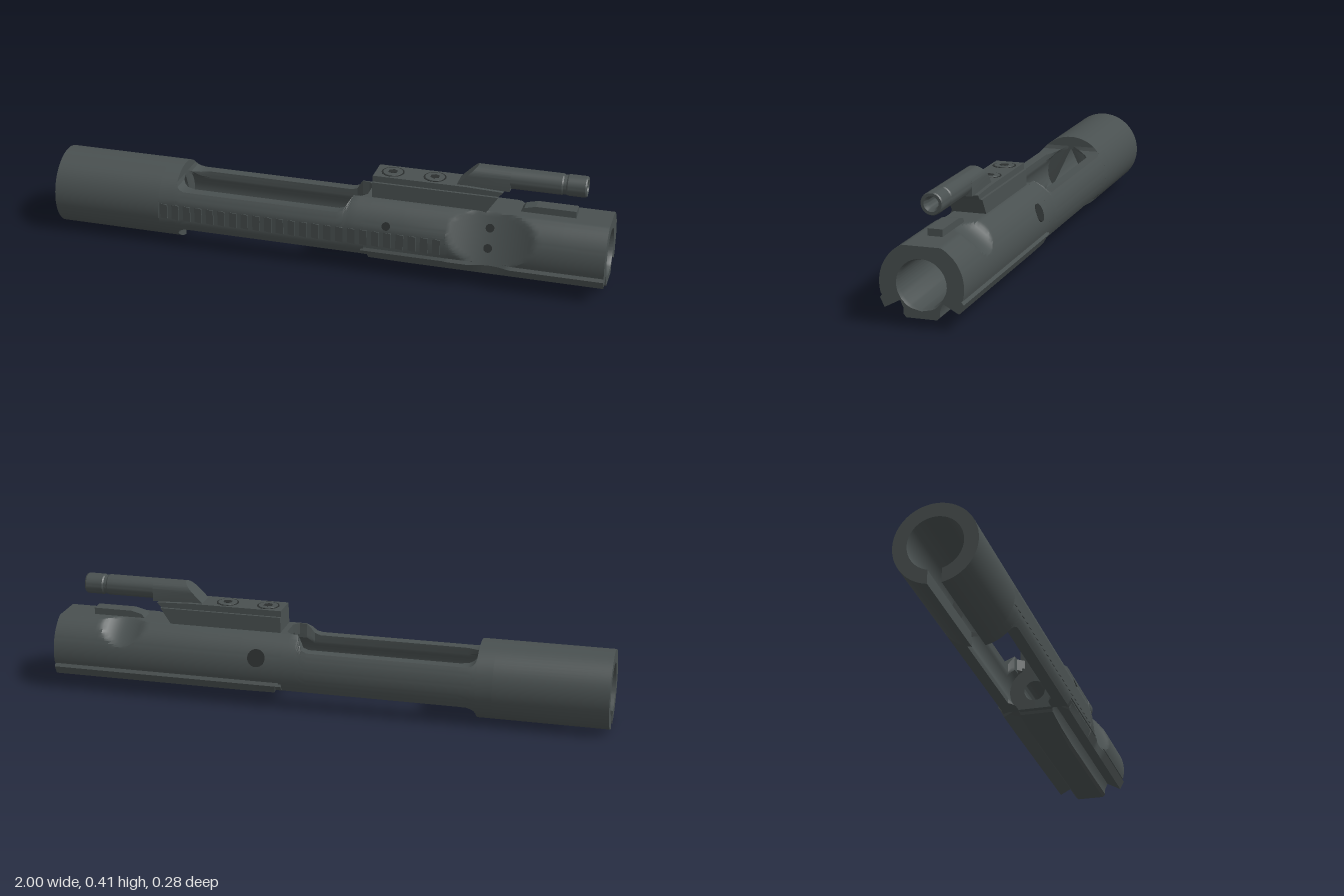
import * as THREE from 'three';
import { toCreasedNormals } from 'three/addons/utils/BufferGeometryUtils.js';

const CY = 0.139, R = 0.139, FLAT = 0.134; // axis height, outer radius, side flat

// Skin a list of equal-length rings of [x, y, z]; either wrap into a loop or cap with fans
function loft(rings, wrap) {
  const n = rings[0].length, m = rings.length, idx = [], pos = rings.flat(2);
  for (let i = 0; i < (wrap ? m : m - 1); i++) {
    for (let j = 0; j < n; j++) {
      const a = i * n + j, b = i * n + (j + 1) % n;
      const c = ((i + 1) % m) * n + j, d = ((i + 1) % m) * n + (j + 1) % n;
      idx.push(a, b, d, a, d, c);
    }
  }
  if (!wrap) {
    const e = (m - 1) * n;
    for (let j = 1; j < n - 1; j++) idx.push(0, j + 1, j, e, e + j, e + j + 1);
  }
  // Turn the faces outward
  let vol = 0;
  const v = k => new THREE.Vector3().fromArray(pos, k * 3);
  for (let t = 0; t < idx.length; t += 3) vol += v(idx[t]).dot(v(idx[t + 1]).cross(v(idx[t + 2])));
  if (vol < 0) idx.reverse();
  const g = new THREE.BufferGeometry();
  g.setAttribute('position', new THREE.Float32BufferAttribute(pos, 3));
  g.setIndex(idx);
  return toCreasedNormals(g, 0.45);
}

// Extrude a (-z, y) shape along x
function extrudeX(shape, x0, x1) {
  const g = new THREE.ExtrudeGeometry(shape, { depth: x1 - x0, bevelEnabled: false, curveSegments: 24 });
  g.rotateY(Math.PI / 2).translate(x0, 0, 0);
  return toCreasedNormals(g, 0.45);
}

// Extrude an (x, y) profile centred across z
function extrudeZ(points, width) {
  const shape = new THREE.Shape(points.map(p => new THREE.Vector2(...p)));
  return new THREE.ExtrudeGeometry(shape, { depth: width, bevelEnabled: false }).translate(0, 0, -width / 2);
}

// Tube section with a slot in its underside, optionally flattened on +z
function slottedRing(flat) {
  const pts = [], bore = 0.092, half = 0.023, N = 64;
  for (const [r, dir] of [[R, 1], [bore, -1]]) {
    const gap = Math.asin(half / r);
    for (let i = 0; i <= N; i++) {
      const t = dir > 0 ? i / N : 1 - i / N;
      const a = -Math.PI / 2 + gap + t * (2 * Math.PI - 2 * gap);
      let x = r * Math.cos(a);
      if (flat) x = Math.max(x, -FLAT);
      pts.push(new THREE.Vector2(x, CY + r * Math.sin(a)));
    }
  }
  return new THREE.Shape(pts);
}

// Side wall of the open middle: round outside, bored and slotted inside
function sideWall(side) {
  const stations = [ // x, top, bottom, slot half width
    [-0.545, 0.245, 0.035, 0], [-0.54, 0.242, 0.04, 0.01], [-0.535, 0.228, 0.054, 0.036],
    [-0.525, 0.22, 0.063, 0.053], [-0.51, 0.215, 0.069, 0.068], [-0.48, 0.215, 0.07, 0.08],
    [0.06, 0.215, 0.07, 0.08], [0.08, 0.222, 0.07, 0.08], [0.09, 0.24, 0.07, 0.072],
    [0.105, 0.262, 0.07, 0.062], [0.13, 0.262, 0.07, 0.06], [0.145, 0.262, 0.07, 0.045],
    [0.16, 0.262, 0.07, 0.02]];
  const N = 18, half = y => r => Math.sqrt(Math.max(0, r * r - (y - CY) ** 2));
  return loft(stations.map(([x, top, bot, w]) => {
    const outer = [], inner = [];
    for (let i = 0; i <= N; i++) {
      const y = bot + (top - bot) * i / N, at = half(y);
      const zo = side > 0 ? Math.min(at(R), FLAT) : at(R);
      outer.push([x, y, side * zo]);
      inner.unshift([x, y, side * Math.min(Math.max(w, at(0.092)), zo - 0.003)]);
    }
    return [...outer, ...inner];
  }), false);
}

// Front body: railed underside, flat top, thumb scoop on +z, stepped bore
function frontBody() {
  const half = [[0.05, 0.03], [0.06, 0.042], [0.06, 0.062], [0.07, 0.086],
    [0.122, 0.058], [0.137, 0.088], [0.129, 0.1]];
  for (let i = 0; i < 28; i++) {
    const a = -0.28 + (Math.PI / 2 + 0.28) * i / 28;
    half.push([R * Math.cos(a), CY + R * Math.sin(a)]);
  }
  const base = [[0, 0.03], ...half, [0, CY + R], ...half.map(([z, y]) => [-z, y]).reverse()];
  const dip = (x, mid, wide, deep) => R - deep * Math.max(0, 1 - ((x - mid) / wide) ** 2);
  const outer = (x, flat) => base.map(([z, y]) => {
    let r = Math.hypot(z, y - CY);
    const a = Math.atan2(y - CY, z);
    for (const [angle, d] of [[0.4, dip(x, 0.605, 0.155, 0.04)], [2.2, dip(x, 0.75, 0.08, 0.025)]]) {
      const c = Math.cos(a - angle);
      if (c > 0.3 && d < R) r = Math.min(r, d / c);
    }
    const bot = x < 0.172 ? 0.07 : Math.max(0.032, 0.06 - 0.1 * (x - 0.175));
    const zz = r * Math.cos(a);
    return [x, Math.min(0.262, Math.max(bot, CY + r * Math.sin(a))), flat ? Math.min(zz, FLAT) : zz];
  });
  const inner = (x, r) => base.map(([z, y]) => {
    const a = Math.atan2(y - CY, z);
    return [x, CY + r * Math.sin(a), r * Math.cos(a)];
  });
  const rings = [0.15, 0.171, 0.176, 0.3, 0.449].map(x => outer(x, true));
  for (let i = 0; i <= 30; i++) rings.push(outer(0.45 + 0.4 * i / 30, false));
  rings.push(outer(1, false), inner(1, 0.083), inner(0.985, 0.078), inner(0.6, 0.078),
    inner(0.6, 0.038), inner(0.15, 0.038));
  return loft(rings, true);
}

export function createModel() {
  const model = new THREE.Group();
  const steel = new THREE.MeshStandardMaterial({ color: 0x495050 });
  steel.name = 'dark grey steel';
  const shade = new THREE.MeshStandardMaterial({ color: 0x2a2e2e });
  shade.name = 'blackened recess';
  const add = (name, geo, mat = steel) => {
    const mesh = new THREE.Mesh(geo, mat);
    mesh.name = name;
    model.add(mesh);
    return mesh;
  };

  // Main cylinder
  add('rearTube', extrudeX(slottedRing(false), -1, -0.6));
  add('rearTubeFlat', extrudeX(slottedRing(true), -0.6, -0.54));
  add('leftWall', sideWall(1));
  add('rightWall', sideWall(-1));
  add('frontBody', frontBody());

  // Row of sawtooth serrations
  const tooth = new THREE.Shape([[0, 0], [0.034, 0], [0.034, 0.006]].map(p => new THREE.Vector2(...p)));
  const toothGeo = new THREE.ExtrudeGeometry(tooth, { depth: 0.056, bevelEnabled: false });
  toothGeo.rotateX(Math.PI / 2); // profile depth now points to +z, height runs down
  for (let i = 0; i < 24; i++) add('serration', toothGeo).position.set(-0.6 + i * 0.0435, 0.168, FLAT - 0.001);

  // Thin round details, facing outward at an angle around the axis
  const disc = (name, x, angle, r, dist, mat) => {
    const g = new THREE.CylinderGeometry(r, r, 0.006, 24);
    g.rotateX(Math.PI / 2 - angle);
    add(name, g, mat).position.set(x, CY + dist * Math.sin(angle), dist * Math.cos(angle));
  };
  disc('rightPinHole', 0.24, Math.PI - 0.35, 0.032, 0.1365, shade);
  disc('leftPinHole', 0.24, 0.38, 0.015, 0.1375, shade);
  for (const off of [0.035, -0.035]) {
    const g = new THREE.CylinderGeometry(0.015, 0.015, 0.006, 20).rotateX(Math.PI / 2 - 0.4);
    add('scoopHole', g, shade).position.set(0.595, CY + 0.098 * Math.sin(0.4) + off * Math.cos(0.4),
      0.098 * Math.cos(0.4) - off * Math.sin(0.4));
  }

  // Top block with stepped sides
  add('blockBase', extrudeZ([[0.17, 0.25], [0.57, 0.25], [0.615, 0.318], [0.17, 0.318]], 0.118));
  add('blockTop', extrudeZ([[0.17, 0.318], [0.615, 0.318], [0.63, 0.335], [0.5, 0.34], [0.17, 0.34]], 0.1));
  add('topRib', extrudeZ([[0.68, 0.25], [0.88, 0.25], [0.88, 0.286], [0.74, 0.286], [0.7, 0.276]], 0.05));

  // Sloped neck rising to the pipe
  const arch = new THREE.Shape();
  arch.moveTo(-0.037, 0.335).lineTo(0.037, 0.335).lineTo(0.037, 0.372);
  arch.absarc(0, 0.372, 0.037, 0, Math.PI, false);
  const neck = extrudeX(arch, 0.46, 0.65), p = neck.attributes.position;
  for (let i = 0; i < p.count; i++) if (p.getX(i) < 0.5) p.setX(i, 0.46 + (p.getY(i) - 0.335));
  add('neck', toCreasedNormals(neck, 0.45));

  // Pipe with a stepped tip and open bore
  const profile = [[0, 0.64], [0.037, 0.64], [0.037, 0.825], [0.034, 0.83], [0.034, 0.84], [0.037, 0.845],
    [0.037, 0.905], [0.034, 0.91], [0.025, 0.91], [0.018, 0.89], [0.018, 0.75], [0, 0.75]];
  const pipe = new THREE.LatheGeometry(profile.map(q => new THREE.Vector2(...q)), 32);
  pipe.rotateZ(-Math.PI / 2).translate(0, 0.372, 0);
  add('pipe', toCreasedNormals(pipe, 0.45));

  // Socket screws on the block
  for (const x of [0.23, 0.38]) {
    add('screwRecess', new THREE.CylinderGeometry(0.04, 0.04, 0.002, 28), shade).position.set(x, 0.34, 0);
    add('screwHead', new THREE.CylinderGeometry(0.034, 0.036, 0.005, 28)).position.set(x, 0.34, 0);
    add('screwSocket', new THREE.CylinderGeometry(0.017, 0.017, 0.002, 6), shade).position.set(x, 0.3425, 0);
  }
  return model;
}
